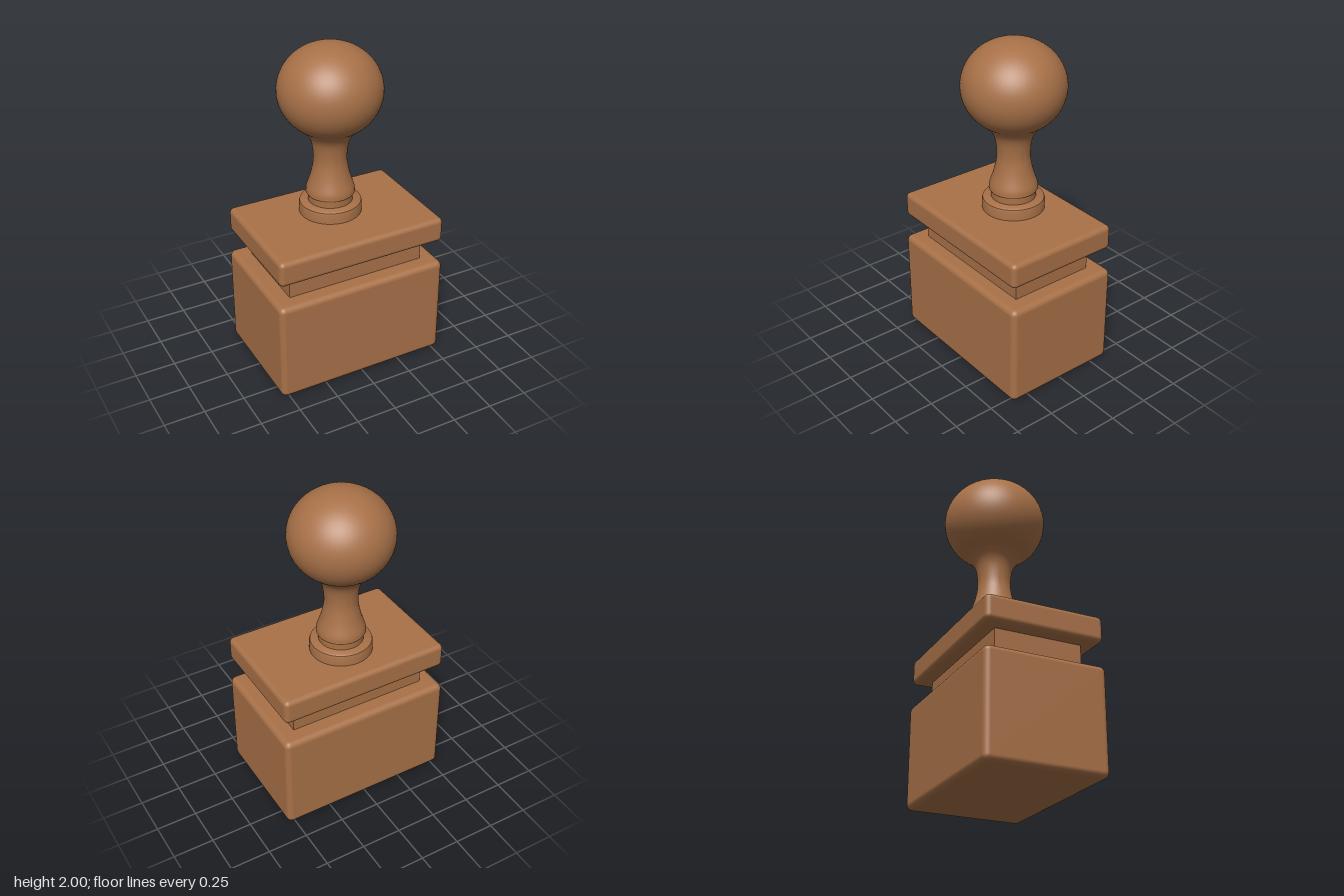
import * as THREE from 'three';
import { toCreasedNormals } from 'three/addons/utils/BufferGeometryUtils.js';
import { RoundedBoxGeometry } from 'three/addons/geometries/RoundedBoxGeometry.js';

export function createModel() {
  const model = new THREE.Group();
  model.name = 'handStamp';
  const wood = new THREE.MeshStandardMaterial({ color: 0xa87148 });
  wood.name = 'warm brown wood';

  const add = (name, geometry, x, y, z) => {
    const mesh = new THREE.Mesh(geometry, wood);
    mesh.name = name;
    mesh.position.set(x, y, z);
    model.add(mesh);
  };
  const lathe = (points) => toCreasedNormals(
    new THREE.LatheGeometry(points.map(([r, y]) => new THREE.Vector2(r, y)), 64), 0.6);

  // Stacked blocks: body, recessed waist, overhanging cap
  add('baseBlock', new RoundedBoxGeometry(1.09, 0.64, 0.74, 3, 0.035), 0, 0.32, 0);
  add('recessedWaist', new THREE.BoxGeometry(0.88, 0.17, 0.535), 0, 0.715, 0.002);
  add('topPlate', new RoundedBoxGeometry(1.074, 0.157, 0.726, 3, 0.03), 0, 0.866, 0.002);

  // Handle parts sit slightly behind the centre
  const handleZ = -0.06;
  add('handleCollar', lathe([
    [0, 0.93], [0.188, 0.93], [0.188, 1.0], [0.184, 1.013], [0.172, 1.021], [0, 1.021],
  ]), 0, 0, handleZ);
  add('handleRing', lathe([[0.134, 1.01], [0.134, 1.07]]), 0, 0, handleZ);

  // Flared foot, slim stem and slightly flattened knob in one profile
  const stem = new THREE.SplineCurve([
    [0.146, 1.085], [0.142, 1.11], [0.119, 1.18], [0.102, 1.26], [0.1, 1.32],
    [0.109, 1.39], [0.128, 1.44], [0.165, 1.487],
  ].map(([r, y]) => new THREE.Vector2(r, y))).getPoints(28).map((p) => [p.x, p.y]);
  const knob = [];
  const start = -0.95;
  for (let i = 0; i <= 32; i++) {
    const a = start + (Math.PI / 2 - start) * i / 32;
    knob.push([Math.max(0, 0.307 * Math.cos(a)), 1.722 + 0.278 * Math.sin(a)]);
  }
  add('handleKnob', lathe([
    [0, 1.06], [0.13, 1.06], [0.142, 1.066], [0.147, 1.075], ...stem, ...knob,
  ]), 0, 0, handleZ);

  return model;
}
